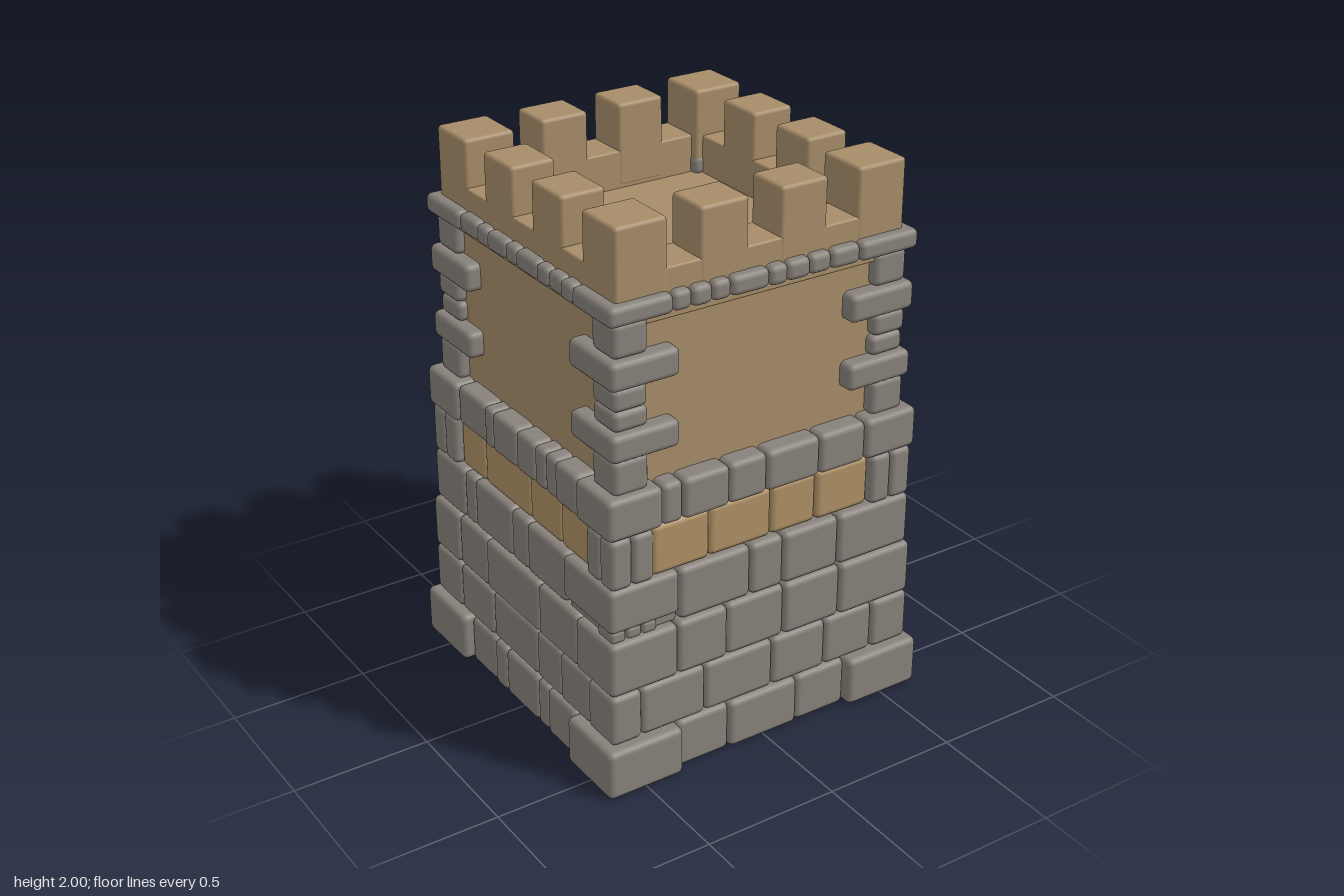
import * as THREE from 'three';
import { RoundedBoxGeometry } from 'three/addons/geometries/RoundedBoxGeometry.js';

const material = (name, color) => {
  const m = new THREE.MeshStandardMaterial({ color });
  m.name = name;
  return m;
};

// Soft-edged block given by its limits on each axis
function block(parent, name, mat, [x0, x1], [y0, y1], [z0, z1], radius = 0.022) {
  const w = Math.abs(x1 - x0), h = y1 - y0, d = Math.abs(z1 - z0);
  const r = Math.min(radius, 0.3 * Math.min(w, h, d));
  const mesh = new THREE.Mesh(new RoundedBoxGeometry(w, h, d, 2, r), mat);
  mesh.position.set((x0 + x1) / 2, (y0 + y1) / 2, (z0 + z1) / 2);
  mesh.name = name;
  parent.add(mesh);
  return mesh;
}

// Courses of stone: height range, joints along the front (left to right as seen)
// and joints along the side (front to back). The first and last stones are corners.
const courses = [
  { y: [0, 0.185], inset: 0.032,
    front: [-0.65, -0.355, -0.145, 0.14, 0.35, 0.65],
    side: [0.642, 0.365, 0.19, 0.11, -0.108, -0.18, -0.362, -0.642] },
  { y: [0.188, 0.378], inset: 0.006,
    front: [-0.62, -0.5, -0.245, 0.035, 0.26, 0.465, 0.62],
    side: [0.612, 0.43, 0.2, -0.105, -0.265, -0.452, -0.612] },
  { y: [0.378, 0.58], inset: 0.006,
    front: [-0.62, -0.355, -0.155, 0.08, 0.315, 0.62],
    side: [0.612, 0.43, 0.23, -0.13, -0.38, -0.61] },
  { y: [0.58, 0.775], inset: 0.006, chipped: true,
    front: [-0.613, -0.342, -0.058, 0.075, 0.305, 0.607],
    side: [0.605, 0.395, 0.32, 0.065, -0.045, -0.295, -0.597] },
  { y: [0.773, 0.96], inset: 0.025, posts: true, warm: true,
    front: [-0.607, -0.44, -0.215, 0.035, 0.22, 0.438, 0.607],
    side: [0.603, 0.44, 0.275, -0.035, -0.238, -0.437, -0.597] },
  { y: [0.958, 1.108], inset: 0.008,
    front: [-0.617, -0.408, -0.33, -0.15, 0, 0.215, 0.405, 0.617],
    side: [0.607, 0.405, 0.215, 0.16, 0, -0.122, -0.188, -0.255, -0.392, -0.602] },
  { y: [1.688, 1.757], inset: 0.004, depth: 0.1,
    front: [-0.595, -0.36, -0.29, -0.215, -0.145, 0, 0.07, 0.16, 0.245, 0.36, 0.595],
    side: [0.592, 0.365, 0.25, 0.18, 0.06, -0.01, -0.14, -0.21, -0.29, -0.36, -0.588] },
];

export function createModel() {
  const tower = new THREE.Group();
  tower.name = 'tower';
  const grey = material('grey stone', 0x87817a);
  const tan = material('tan plaster', 0xa68c69);
  const brick = material('warm tan stone', 0xad8f64);

  let seed = 7;
  const jitter = (a) => {
    seed = (seed * 16807) % 2147483647;
    return (seed / 2147483647 - 0.5) * a;
  };

  // Half a ring of stones: front run, side run and the two corners on +x
  function halfCourse(c) {
    const half = new THREE.Group();
    half.name = 'stoneCourse';
    const { y, front: f, side: s, inset, depth = 0.2 } = c;
    const stone = c.warm ? brick : grey;
    const nf = f.length - 1, ns = s.length - 1;
    const X = f[nf], Z = s[0];
    for (let i = 1; i < nf - 1; i++) {
      const out = Z - inset + jitter(0.008);
      block(half, 'frontStone', stone, [f[i], f[i + 1]], y, [out - depth, out]);
    }
    for (let i = 1; i < ns - 1; i++) {
      const out = X - inset + jitter(0.008);
      block(half, 'sideStone', stone, [out - depth, out], y, [s[i + 1], s[i]]);
    }
    const corners = [
      { x: [f[nf - 1], X], z: [s[1], Z] },
      { x: [-f[1], -f[0]], z: [s[ns], s[ns - 1]] },
    ];
    corners.forEach(({ x, z }, k) => {
      if (c.posts) {
        // Corner of four slim uprights
        const xm = (x[0] + x[1]) / 2, zm = (z[0] + z[1]) / 2;
        for (const xs of [[x[0], xm], [xm, x[1]]])
          for (const zs of [[z[0], zm], [zm, z[1]]])
            block(half, 'cornerPost', grey, xs, y, zs);
      } else if (c.chipped && k === 1) {
        // Shorter corner stone resting on small chips
        block(half, 'cornerStone', grey, x, [0.612, y[1]], z);
        block(half, 'chipBed', grey, [0.34, 0.59], [0.57, 0.63], [-0.575, -0.3]);
        for (const cx of [0.43, 0.49, 0.55])
          block(half, 'stoneChip', grey, [cx, cx + 0.055], [0.575, 0.62], [-0.592, -0.5]);
      } else {
        block(half, 'cornerStone', grey, x, y, z);
      }
    });
    return half;
  }

  for (const c of courses) {
    const a = halfCourse(c);
    const b = a.clone();
    b.rotation.y = Math.PI;
    tower.add(a, b);
  }

  // Plastered upper room, its top is the roof floor
  const room = new THREE.Mesh(new THREE.BoxGeometry(1.07, 0.69, 1.06), tan);
  room.position.y = 1.35;
  room.name = 'upperRoom';
  tower.add(room);

  // Corner stones of the upper room, alternately short and long
  const quoins = [
    [1.1, 1.228, 0.445, 0.578], [1.225, 1.322, 0.335, 0.592],
    [1.32, 1.393, 0.44, 0.57], [1.392, 1.474, 0.445, 0.574],
    [1.472, 1.572, 0.335, 0.592], [1.57, 1.692, 0.44, 0.57],
  ];
  for (const sx of [-1, 1])
    for (const sz of [-1, 1])
      for (const [y0, y1, a, b] of quoins)
        block(tower, 'quoin', grey, [sx * a, sx * b], [y0, y1], [sz * (a - 0.008), sz * (b - 0.004)]);

  // Parapet walls and merlons
  const O = 0.553, I = 0.393, wallY = [1.66, 1.832];
  for (const s of [-1, 1]) {
    block(tower, 'parapetWall', tan, [-O, O], wallY, [s * I, s * O], 0.008);
    block(tower, 'parapetWall', tan, [s * I, s * O], wallY, [-O, O], 0.008);
  }
  const M = O + 0.002, J = I - 0.002, merlonY = [1.7, 2];
  for (const sx of [-1, 1])
    for (const sz of [-1, 1])
      block(tower, 'cornerMerlon', tan, [sx * 0.364, sx * M], merlonY, [sz * 0.364, sz * M], 0.014);
  for (const s of [-1, 1])
    for (const span of [[-0.245, -0.063], [0.06, 0.242]]) {
      block(tower, 'merlon', tan, span, merlonY, [s * J, s * M], 0.014);
      block(tower, 'merlon', tan, [s * J, s * M], merlonY, span.map((v) => v + 0.004), 0.014);
    }

  return tower;
}
